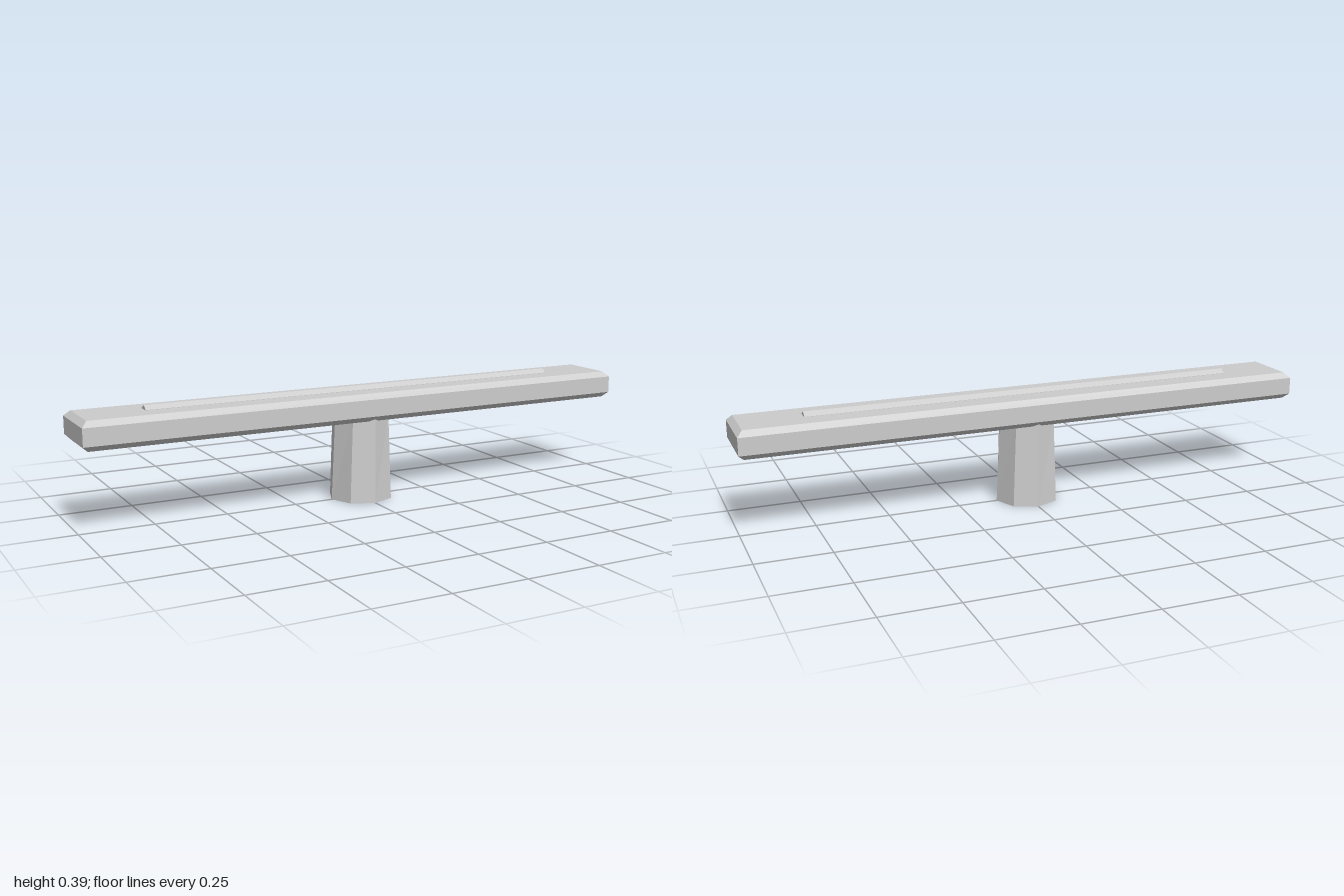
import * as THREE from 'three';

const stoneGrey = new THREE.MeshStandardMaterial({ color: 0xcccccc, flatShading: true });
stoneGrey.name = 'stone grey';

function addPart(group, name, geometry) {
  const flat = geometry.toNonIndexed();
  flat.computeVertexNormals();
  const mesh = new THREE.Mesh(flat, stoneGrey);
  mesh.name = name;
  group.add(mesh);
  return mesh;
}

// Box with chamfered edges around its top and bottom faces
function chamferedSlab(width, height, depth, chamfer) {
  const geometry = new THREE.BoxGeometry(width, height, depth, 1, 3, 1);
  const p = geometry.attributes.position;
  for (let i = 0; i < p.count; i++) {
    const y = p.getY(i);
    if (Math.abs(y) > height * 0.4) {
      p.setX(i, p.getX(i) - Math.sign(p.getX(i)) * chamfer);
      p.setZ(i, p.getZ(i) - Math.sign(p.getZ(i)) * chamfer);
    } else {
      p.setY(i, Math.sign(y) * (height / 2 - chamfer));
    }
  }
  return geometry;
}

// Tapered octagonal post, twisted slightly towards its top
function twistedPost(bottomRadius, topRadius, height, twist) {
  const geometry = new THREE.CylinderGeometry(topRadius, bottomRadius, height, 8);
  const p = geometry.attributes.position;
  const v = new THREE.Vector3();
  const up = new THREE.Vector3(0, 1, 0);
  for (let i = 0; i < p.count; i++) {
    v.fromBufferAttribute(p, i);
    if (v.y > 0) v.applyAxisAngle(up, twist);
    p.setXYZ(i, v.x, v.y, v.z);
  }
  return geometry;
}

export function createModel() {
  const model = new THREE.Group();
  model.name = 'beamOnPost';

  const post = addPart(model, 'post', twistedPost(0.112, 0.1, 0.296, 0.05));
  post.position.y = 0.148;

  const beam = addPart(model, 'beam', chamferedSlab(2, 0.096, 0.223, 0.0185));
  beam.position.y = 0.332;

  // Hexagonal rod sunk into the beam, one edge upwards
  const rod = new THREE.CylinderGeometry(0.025, 0.025, 1.545, 6);
  rod.rotateX(Math.PI / 2);
  rod.rotateY(Math.PI / 2);
  // Turn the section if needed so that a corner is at the top
  rod.computeBoundingBox();
  if (rod.boundingBox.max.y < 0.024) rod.rotateX(Math.PI / 6);
  const ridge = addPart(model, 'topRidge', rod);
  ridge.position.y = 0.3685;

  return model;
}
